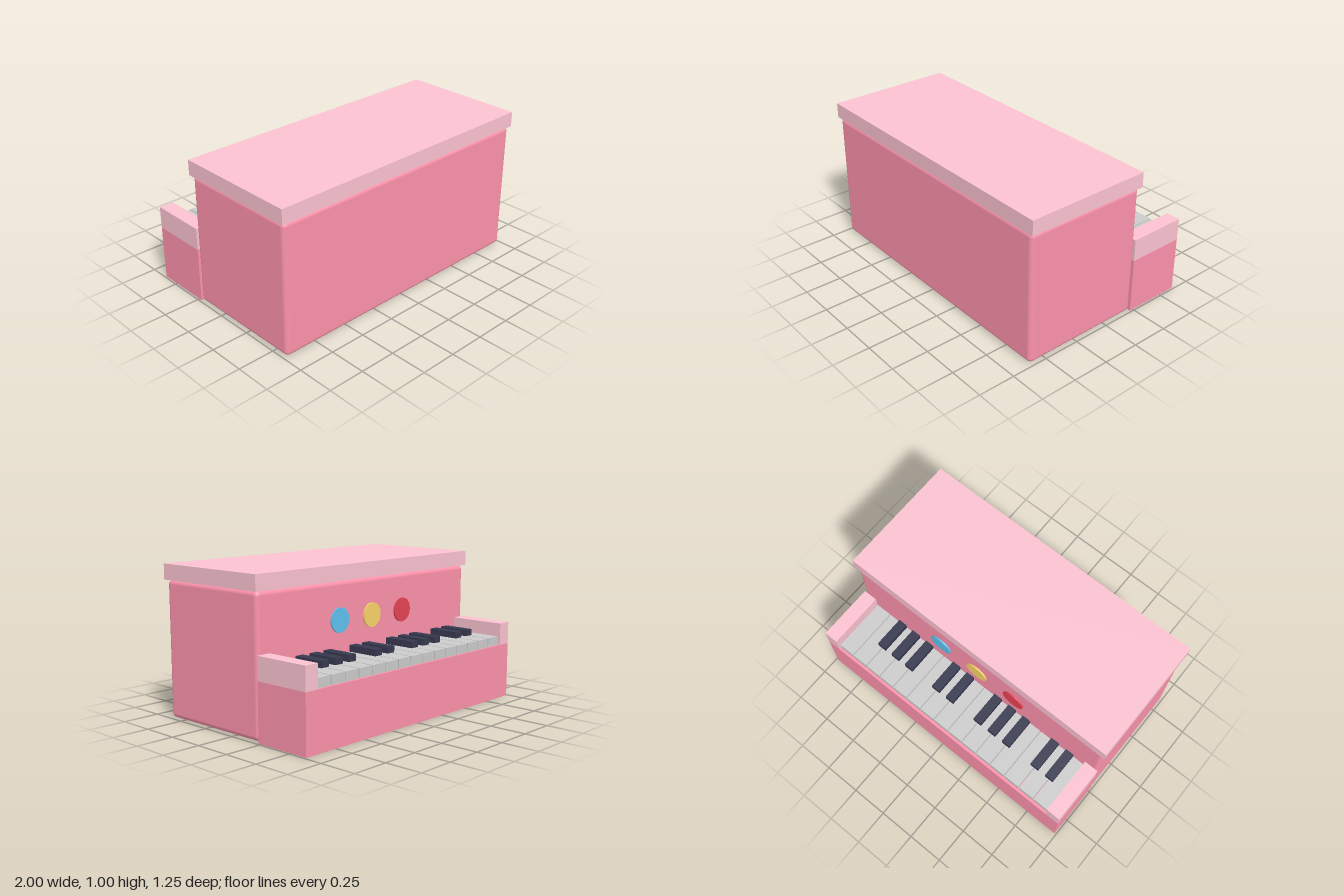
import * as THREE from 'three';
import { RoundedBoxGeometry } from 'three/addons/geometries/RoundedBoxGeometry.js';

const paint = (color) => new THREE.MeshStandardMaterial({ color });

export function createModel() {
  const model = new THREE.Group();
  const pink = paint(0xfc92ab), palePink = paint(0xfbc2d1);
  const grey = paint(0xcccccc), dark = paint(0x37394f);

  const add = (parent, name, geometry, material, x, y, z) => {
    const mesh = new THREE.Mesh(geometry, material);
    mesh.name = name;
    mesh.position.set(x, y, z);
    parent.add(mesh);
    return mesh;
  };
  // Box given by its limits on each axis
  const block = (parent, name, material, [x0, x1], [y0, y1], [z0, z1]) =>
    add(parent, name, new THREE.BoxGeometry(x1 - x0, y1 - y0, z1 - z0), material,
      (x0 + x1) / 2, (y0 + y1) / 2, (z0 + z1) / 2);

  // Softly rounded cabinet with an overhanging lid
  add(model, 'cabinet', new RoundedBoxGeometry(1.97, 0.89, 0.84, 3, 0.03), pink, 0, 0.449, 0.195);
  block(model, 'lid', palePink, [-1, 1], [0.894, 0.995], [-0.236, 0.623]);

  // Keyboard shelf and its two end cheeks
  block(model, 'keyboardBase', pink, [-0.988, 0.988], [0, 0.374], [-0.623, -0.227]);
  for (const s of [-1, 1]) {
    block(model, s > 0 ? 'leftCheek' : 'rightCheek', palePink,
      [s * 0.939 - 0.049, s * 0.939 + 0.049], [0.374, 0.524], [-0.623, -0.227]);
  }

  // Fifteen white keys, with black keys on the joints in twos and threes
  const keys = new THREE.Group();
  keys.name = 'keys';
  model.add(keys);
  const count = 15, left = -0.89, pitch = 1.78 / count;
  for (let i = 0; i < count; i++) {
    const x = left + i * pitch;
    block(keys, 'whiteKey', grey, [x + 0.004, x + pitch - 0.004], [0.374, 0.434], [-0.606, -0.227]);
    if ([1, 2, 4, 5, 6].includes(i % 7)) {
      block(keys, 'blackKey', dark, [x - 0.031, x + 0.031], [0.434, 0.477], [-0.445, -0.227]);
    }
  }

  // Three round buttons on the panel above the keys
  const disc = new THREE.CylinderGeometry(0.08, 0.08, 0.02, 32).rotateX(Math.PI / 2);
  [['blueButton', 0x5fc2ee, 0.3], ['yellowButton', 0xf9d468, 0], ['redButton', 0xe64253, -0.3]]
    .forEach(([name, color, x]) => add(model, name, disc, paint(color), x, 0.648, -0.225));

  return model;
}
